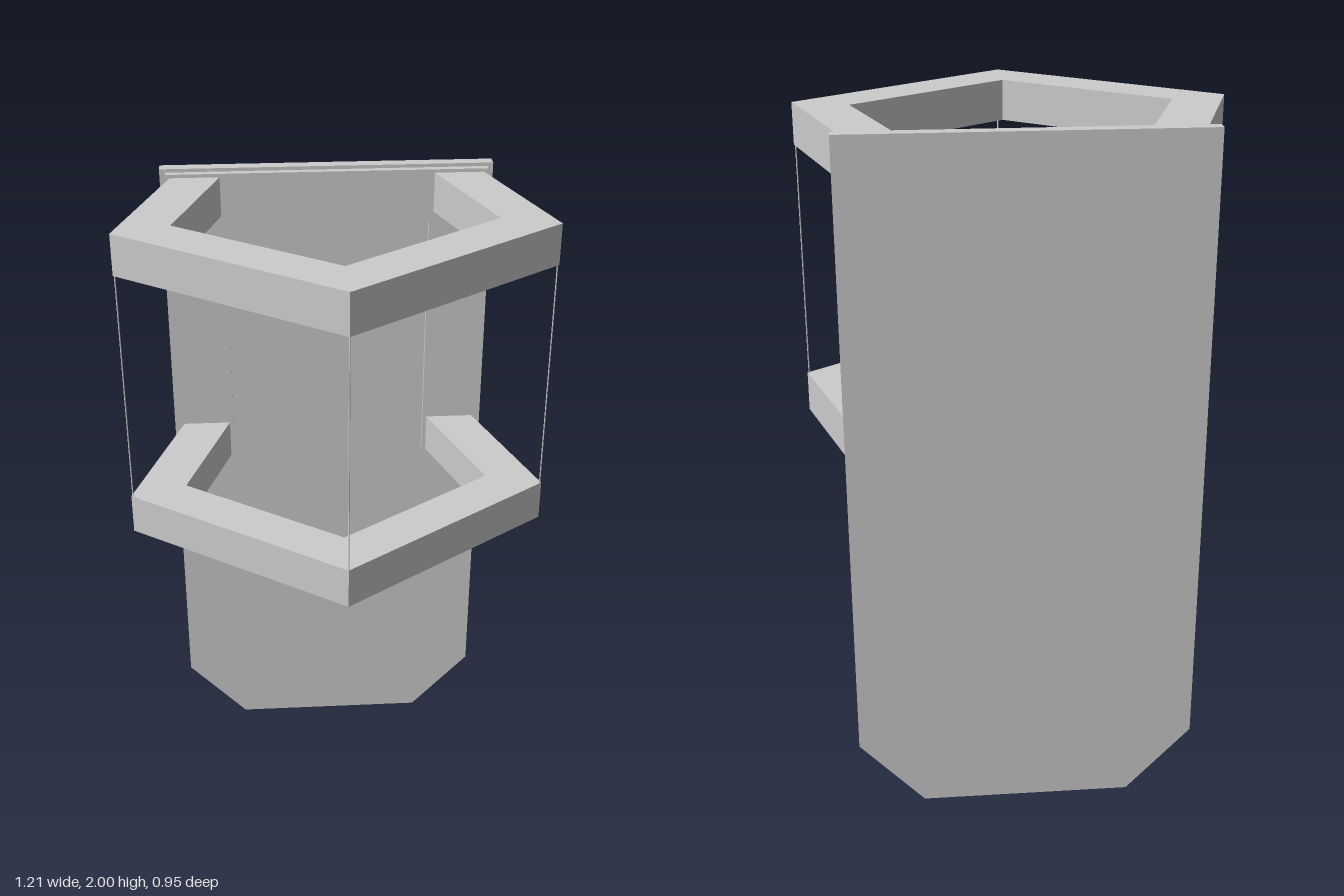
import * as THREE from 'three';

const material = new THREE.MeshStandardMaterial({ color: 0xcccccc, flatShading: true });

// Extrudes an outline of [x, y] points by depth along +z
function extrude(name, points, depth) {
  const shape = new THREE.Shape(points.map(([x, y]) => new THREE.Vector2(x, y)));
  const mesh = new THREE.Mesh(
    new THREE.ExtrudeGeometry(shape, { depth, bevelEnabled: false }), material);
  mesh.name = name;
  return mesh;
}

// Completes a right-hand half outline with its mirror image
const mirrored = (half) => [...half, ...half.map(([x, y]) => [-x, y]).reverse()];

export function createModel() {
  const group = new THREE.Group();

  // Tall back board with clipped lower corners
  const board = extrude('backBoard', mirrored([[0.303, 0], [0.49, 0.2], [0.49, 2]]), 0.038);
  board.position.z = -0.475;
  group.add(board);

  // Inverted U frame on the front of the board
  const frame = extrude('mountingFrame', mirrored(
    [[0.303, 1.83], [0.303, 1.055], [0.473, 1.055], [0.473, 1.99]]), 0.023);
  frame.position.z = -0.438;
  group.add(frame);

  // Two open five-sided rings, outlined in x and z
  const ring = [
    [-0.459, -0.418], [-0.605, 0.035], [0, 0.475], [0.605, 0.035], [0.459, -0.418],
    [0.314, -0.418], [0.446, -0.018], [0, 0.305], [-0.446, -0.018], [-0.314, -0.418],
  ];
  for (const [name, top] of [['upperRing', 1.98], ['lowerRing', 1.18]]) {
    const mesh = extrude(name, ring, 0.118);
    mesh.rotation.x = Math.PI / 2;
    mesh.position.y = top;
    group.add(mesh);
  }

  // Thin wires joining the outer corners of the rings
  for (const [name, x, z] of [
    ['leftWire', 0.6, 0.035], ['rightWire', -0.6, 0.035], ['frontWire', 0, 0.471],
  ]) {
    const wire = new THREE.Mesh(new THREE.CylinderGeometry(0.002, 0.002, 0.7, 8), material);
    wire.name = name;
    wire.position.set(x, 1.521, z);
    group.add(wire);
  }
  return group;
}
